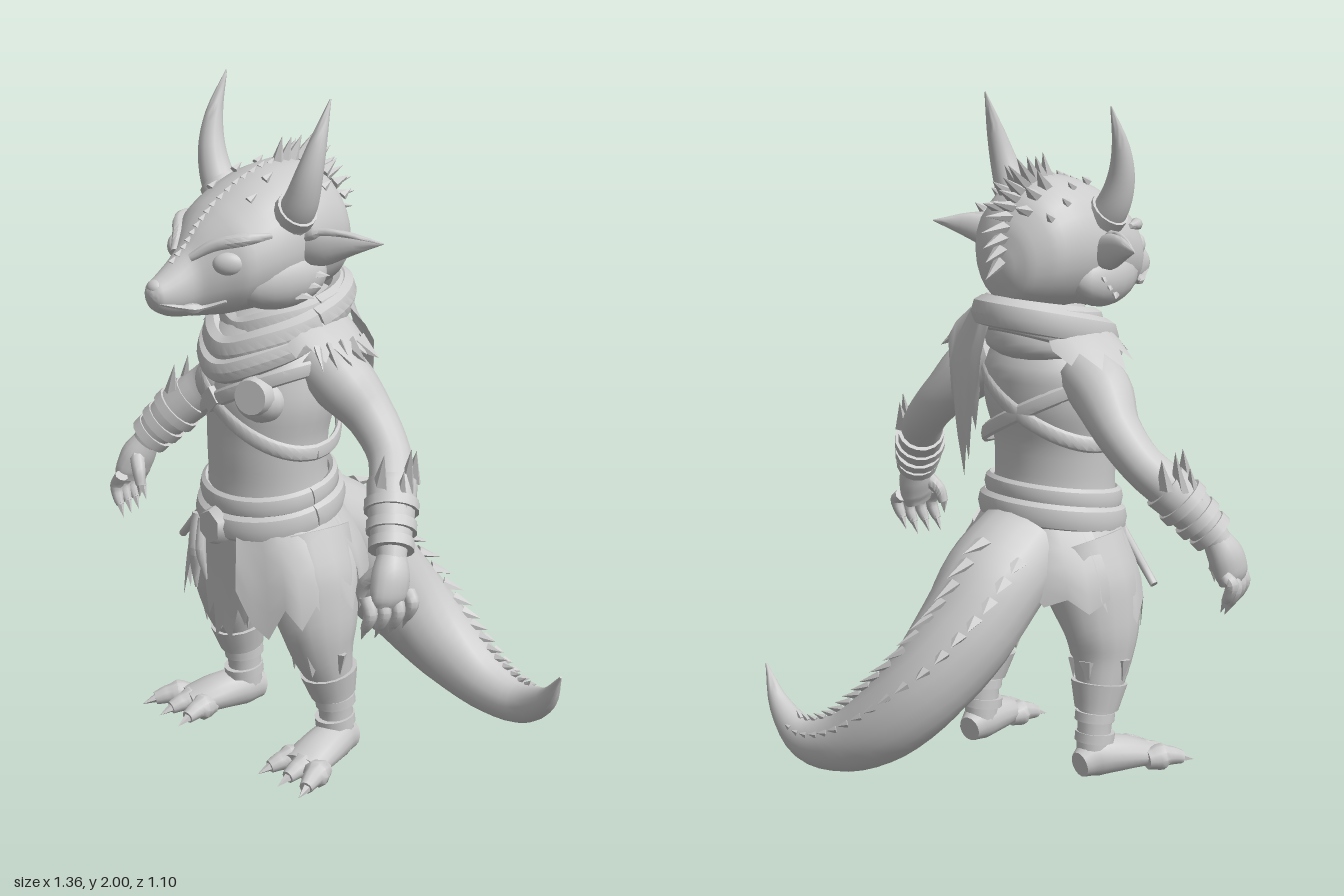
import * as THREE from 'three';
import { toCreasedNormals } from 'three/addons/utils/BufferGeometryUtils.js';

const V = (x, y, z) => new THREE.Vector3(x, y, z);
const { sin, cos, PI } = Math;

export function createModel() {
  const model = new THREE.Group();
  const clay = new THREE.MeshStandardMaterial({ color: 0xcccccc, side: THREE.DoubleSide });
  clay.name = 'clay grey';

  const add = (name, geo) => {
    const mesh = new THREE.Mesh(geo, clay);
    mesh.name = name;
    model.add(mesh);
    return mesh;
  };

  // Smooth closed skin over elliptical sections [x, y, z, rx, ry]
  function loft(name, secs, { ref = V(0, 0, 1), axis = null, sides = 16, per = 4, crease = 0.8 } = {}) {
    const path = new THREE.CatmullRomCurve3(secs.map(p => V(p[0], p[1], p[2])));
    const size = new THREE.CatmullRomCurve3(secs.map(p => V(p[3], p[4] ?? p[3], 0)));
    const n = (secs.length - 1) * per, pos = [], idx = [];
    for (let i = -1; i <= n + 1; i++) {
      const t = Math.min(Math.max(i / n, 0), 1);
      const c = path.getPoint(t), r = size.getPoint(t), k = i < 0 || i > n ? 0 : 1;
      const tan = axis || path.getTangent(t);
      const side = tan.clone().cross(ref).normalize(), up = side.clone().cross(tan).normalize();
      for (let j = 0; j < sides; j++) {
        const a = j / sides * 2 * PI;
        const p = c.clone().addScaledVector(side, k * r.x * cos(a)).addScaledVector(up, k * r.y * sin(a));
        pos.push(p.x, p.y, p.z);
        if (i <= n) {
          const A = (i + 1) * sides + j, B = (i + 1) * sides + (j + 1) % sides;
          idx.push(A, A + sides, B, B, A + sides, B + sides);
        }
      }
    }
    const g = new THREE.BufferGeometry();
    g.setAttribute('position', new THREE.Float32BufferAttribute(pos, 3));
    g.setIndex(idx);
    return add(name, toCreasedNormals(g, crease));
  }

  // Band around the body; y is a function of the angle (front is PI / 2)
  function ring(name, rx, rz, zc, y, thick, high) {
    const secs = [];
    for (let i = 0; i <= 24; i++) {
      const a = i / 24 * 2 * PI;
      secs.push([rx * cos(a), y(a), zc + rz * sin(a), thick, high]);
    }
    loft(name, secs, { ref: V(0, 1, 0), sides: 8, per: 2, crease: 0.6 });
  }

  function spike(name, p, dir, len, r, flat = 1) {
    const g = new THREE.ConeGeometry(r, len, 5).translate(0, len / 2, 0).scale(1, 1, flat);
    const m = add(name, g.toNonIndexed());
    m.geometry.computeVertexNormals();
    m.position.copy(p);
    m.quaternion.setFromUnitVectors(V(0, 1, 0), dir.clone().normalize());
  }

  // Ragged cloth: one length per column, placed by f(u, v, length)
  function cloth(name, lengths, f) {
    const n = lengths.length - 1, g = new THREE.PlaneGeometry(1, 1, n, 4), p = g.attributes.position;
    for (let i = 0; i < p.count; i++) {
      const q = f((i % (n + 1)) / n, Math.floor(i / (n + 1)) / 4, lengths[i % (n + 1)]);
      p.setXYZ(i, q.x, q.y, q.z);
    }
    g.computeVertexNormals();
    add(name, g);
  }

  function ball(name, x, y, z, rx, ry, rz, turn = 0) {
    const m = add(name, new THREE.SphereGeometry(1, 18, 14).scale(rx, ry, rz));
    m.position.set(x, y, z);
    m.rotation.y = turn;
  }

  // Head: [z, top, bottom, half width]
  const headRows = [[-0.105, 1.58, 1.5, 0.04], [-0.085, 1.66, 1.44, 0.1], [-0.03, 1.74, 1.41, 0.16], [0.06, 1.785, 1.39, 0.19],
    [0.16, 1.775, 1.38, 0.2], [0.25, 1.74, 1.38, 0.2], [0.33, 1.69, 1.38, 0.178], [0.385, 1.64, 1.385, 0.12],
    [0.43, 1.585, 1.39, 0.074], [0.49, 1.535, 1.4, 0.056], [0.535, 1.505, 1.425, 0.038], [0.55, 1.485, 1.455, 0.016]];
  loft('head', headRows.map(([z, t, b, w]) => [0, (t + b) / 2, z, w, (t - b) / 2]),
    { ref: V(0, 1, 0), axis: V(0, 0, 1), sides: 24 });
  ball('nose', 0, 1.487, 0.523, 0.03, 0.024, 0.026);

  // Crest of spikes over the skull, and small scales down the brow
  for (let i = 0; i < 13; i++) {
    const a = 1.25 + i * 0.17;
    for (const x of i > 1 && i < 9 && i % 2 ? [-0.055, 0, 0.055] : [0]) {
      const r = x ? 0.93 : 0.98;
      spike('crestSpike', V(x, 1.585 + 0.195 * r * sin(a), 0.055 + 0.155 * r * cos(a)),
        V(x * 2, sin(a + 0.6) + 0.2, cos(a + 0.6)), (x ? 0.06 : 0.085) + 0.012 * sin(i * 5), 0.028, 0.6);
    }
  }
  for (let i = 3; i < 9; i++) for (const t of [0, 0.33, 0.67]) {
    const [A, B] = [headRows[i], headRows[i + 1]];
    spike('browScale', V(0, A[1] + (B[1] - A[1]) * t - 0.004, A[0] + (B[0] - A[0]) * t), V(0, 1, -0.8), 0.024, 0.013);
  }

  // Torso and neck
  loft('torso', [[0, 0.66, 0.12, 0.17, 0.16], [0, 0.75, 0.125, 0.2, 0.185], [0, 0.88, 0.14, 0.19, 0.165], [0, 1, 0.14, 0.195, 0.165],
    [0, 1.12, 0.125, 0.215, 0.18], [0, 1.22, 0.11, 0.205, 0.17], [0, 1.3, 0.1, 0.15, 0.13], [0, 1.42, 0.11, 0.1, 0.1]],
  { axis: V(0, 1, 0), sides: 24 });

  // Scarf: draped folds, high at the nape and low at the front
  loft('scarfDrape', [[0, 1.24, 0.15, 0.13, 0.15], [0, 1.29, 0.11, 0.18, 0.19], [0, 1.35, 0.08, 0.16, 0.165], [0, 1.395, 0.07, 0.12, 0.13]],
    { axis: V(0, 1, 0), sides: 20 });
  [[0.18, 0.205, 0.115, 1.31, 0.075, 0.026], [0.172, 0.197, 0.095, 1.345, 0.06, 0.034], [0.15, 0.165, 0.075, 1.375, 0.035, 0.03]].forEach(
    ([rx, rz, zc, y, drop, th]) => ring('scarfFold', rx, rz, zc,
      a => y - drop * sin(a) - 0.03 * Math.max(0, sin(a)) ** 6, th, th * 1.4));
  // Ragged cape end over the left shoulder blade
  cloth('cape', [0.2, 0.32, 0.28, 0.42, 0.38, 0.48, 0.4, 0.3, 0.34, 0.18], (u, v, d) =>
    V(0.04 + 0.22 * u * (0.75 + 0.25 * sin(v * PI)), 1.38 - d * v, -0.1 - 0.05 * sin(v * 2) + 0.1 * u * u));

  // Crossed straps with a round plate and a clasp
  ring('strap', 0.212, 0.187, 0.128, a => 1.09 - 0.115 * cos(a), 0.01, 0.024);
  ring('strap', 0.212, 0.187, 0.128, a => 1.12 + 0.11 * cos(a), 0.01, 0.024);
  const plate = add('chestPlate', new THREE.CylinderGeometry(0.05, 0.06, 0.035, 20).rotateX(PI / 2));
  plate.position.set(0.13, 1.155, 0.29);
  plate.rotation.set(-0.1, 0.4, 0);
  const clasp = add('strapClasp', new THREE.BoxGeometry(0.055, 0.055, 0.02));
  clasp.position.set(-0.03, 1.11, 0.318);
  clasp.rotation.z = PI / 4;

  // Belts, buckle, pouch and dagger
  ring('upperBelt', 0.198, 0.18, 0.135, a => 0.835 - 0.03 * sin(a), 0.016, 0.032);
  ring('lowerBelt', 0.208, 0.195, 0.13, a => 0.775 - 0.035 * sin(a), 0.02, 0.04);
  const buckle = add('buckle', new THREE.CylinderGeometry(0.05, 0.062, 0.03, 6).rotateX(PI / 2));
  buckle.position.set(0, 0.735, 0.34);
  loft('hangingCord', [[-0.1, 0.74, 0.32, 0.018], [-0.095, 0.64, 0.335, 0.022], [-0.11, 0.56, 0.325, 0.014], [-0.115, 0.5, 0.32, 0.004]], { sides: 8 });
  loft('hangingCord', [[-0.08, 0.73, 0.32, 0.014], [-0.07, 0.64, 0.335, 0.016], [-0.065, 0.54, 0.32, 0.004]], { sides: 8 });
  loft('dagger', [[-0.17, 0.72, 0.25, 0.014], [-0.32, 0.58, 0.22, 0.012]], { sides: 8 });

  // Ragged skirt panels: [start angle, end angle, flare, depth flare, lengths]
  [[1.05, 2.12, 0.03, -0.02, [0.2, 0.33, 0.29, 0.4, 0.36, 0.41, 0.31, 0.36, 0.22]],
    [-0.45, 1.2, 0.095, 0.03, [0.2, 0.27, 0.22, 0.29, 0.23, 0.3, 0.24, 0.34, 0.3, 0.2]],
    [2.0, 3.6, 0.095, 0.03, [0.2, 0.32, 0.27, 0.34, 0.23, 0.3, 0.22, 0.28, 0.2]],
    [3.45, 4.4, 0.1, 0.06, [0.2, 0.24, 0.19, 0.22, 0.13]],
    [5.02, 5.95, 0.1, 0.06, [0.13, 0.22, 0.19, 0.24, 0.2]]].forEach(([a0, a1, fx, fz, len]) =>
    cloth('skirtPanel', len, (u, v, d) => {
      const a = a0 + (a1 - a0) * u, w = sin(v * 1.6), wave = 1 + 0.03 * v * sin(u * 14);
      return V((0.21 + fx * w) * wave * cos(a), 0.77 - d * v, 0.125 + (0.2 + fz * w) * wave * sin(a));
    }));

  // Tail with a dorsal row of spikes and a flatter outer row
  const tail = [[0, 0.7, 0, 0.15, 0.14], [0, 0.61, -0.13, 0.16, 0.15], [0.02, 0.47, -0.24, 0.15, 0.145], [0.08, 0.32, -0.35, 0.125, 0.13],
    [0.18, 0.2, -0.42, 0.105, 0.115], [0.31, 0.12, -0.46, 0.085, 0.09], [0.45, 0.1, -0.475, 0.06, 0.065], [0.58, 0.165, -0.455, 0.034, 0.036], [0.665, 0.275, -0.43, 0.003, 0.003]];
  loft('tail', tail, { ref: V(0, 1, 0), sides: 18 });
  const tailPath = new THREE.CatmullRomCurve3(tail.map(p => V(p[0], p[1], p[2])));
  const tailSize = new THREE.CatmullRomCurve3(tail.map(p => V(p[3], p[4], 0)));
  for (let i = 0; i < 18; i++) for (const a of [-0.95, -0.1]) {
    const t = 0.1 + i * 0.04, c = tailPath.getPoint(t), tan = tailPath.getTangent(t), r = tailSize.getPoint(t);
    const side = tan.clone().cross(V(0, 1, 0)).normalize(), up = side.clone().cross(tan);
    const out = side.multiplyScalar(sin(a)).addScaledVector(up, cos(a));
    const base = c.addScaledVector(out, r.y * 0.95);
    spike('tailSpike', base, out.addScaledVector(tan, 1.8), (a < -0.5 ? 0.06 : 0.095) * (1.1 - t), 0.028 * (1.2 - t), 0.6);
  }

  // Ragged feathers on the left shoulder
  for (let i = 0; i < 5; i++)
    spike('mantleFeather', V(0.25, 1.295, 0.01 + i * 0.035), V(1, -0.7, (i - 2) * 0.25), 0.08, 0.03, 0.4);

  // Mirrored parts
  for (const s of [1, -1]) {
    const L = (name, pts, o) => loft(name, pts.map(([x, ...r]) => [x * s, ...r]), o);
    const S = (name, x, y, z, dx, dy, dz, len, r, flat) => spike(name, V(x * s, y, z), V(dx * s, dy, dz), len, r, flat);
    const Y = { ref: V(0, 1, 0) };

    // Face
    ball('eye', s * 0.125, 1.555, 0.365, 0.046, 0.033, 0.024, s * 0.85);
    L('brow', [[0.038, 1.565, 0.432, 0.012], [0.08, 1.6, 0.388, 0.018], [0.145, 1.622, 0.335, 0.019], [0.182, 1.63, 0.26, 0.008]], { ...Y, sides: 8 });
    L('mouth', [[0.03, 1.45, 0.533, 0.006], [0.06, 1.435, 0.475, 0.007], [0.08, 1.43, 0.425, 0.007], [0.125, 1.45, 0.375, 0.005]], { ...Y, sides: 6 });
    ball('cheek', s * 0.135, 1.49, 0.2, 0.075, 0.09, 0.15, s * -0.15);
    for (let i = 0; i < 3; i++) S('cheekSpike', 0.19, 1.45 + i * 0.025, 0.18 - i * 0.025, 1, -0.3 + i * 0.1, -1, 0.055, 0.02, 0.6);
    for (const [x, y, z] of [[0.07, 1.755, 0.2], [0.1, 1.755, 0.1], [0.09, 1.71, 0.27], [0.13, 1.72, 0.04], [0.13, 1.685, -0.03]])
      S('headScale', x, y, z, x * 2, 1, -1.4, 0.035, 0.014);

    // Horn and collar
    L('horn', [[0.15, 1.65, 0.17, 0.055], [0.194, 1.71, 0.17, 0.05], [0.224, 1.79, 0.165, 0.04], [0.238, 1.88, 0.145, 0.026], [0.238, 2, 0.1, 0.002]]);
    L('hornCollar', [[0.16, 1.668, 0.17, 0.062], [0.182, 1.692, 0.17, 0.06]]);

    // Ear: flattened shell with a rim
    L('ear', [[0.16, 1.565, 0.14, 0.03, 0.04], [0.22, 1.58, 0.12, 0.03, 0.052], [0.29, 1.6, 0.085, 0.022, 0.038], [0.385, 1.612, 0.03, 0.002, 0.002]], Y);
    L('earRim', [[0.18, 1.6, 0.15, 0.012], [0.23, 1.628, 0.13, 0.012], [0.3, 1.628, 0.09, 0.009], [0.38, 1.612, 0.035, 0.002]], { ...Y, sides: 8 });

    // Ragged shoulder mantle
    cloth('shoulderMantle', [0.8, 1, 0.82, 1.06, 0.85, 1.1, 0.85, 1.04, 0.8, 1, 0.75], (u, v, d) => {
      const a = (u - 0.5) * 2.3, w = v * d;
      return V(s * (0.1 + 0.2 * w) * cos(a * 0.8), 1.385 - 0.03 * w - 0.08 * w * w, 0.08 + (0.1 + 0.06 * w) * sin(a));
    });

    // Chest and arm
    ball('pectoral', s * 0.09, 1.13, 0.235, 0.095, 0.075, 0.07);
    L('arm', [[0.16, 1.23, 0.08, 0.085], [0.24, 1.185, 0.06, 0.092], [0.33, 1.095, 0.025, 0.071], [0.42, 1.005, 0.03, 0.063],
      [0.49, 0.93, 0.08, 0.064], [0.56, 0.84, 0.135, 0.05], [0.6, 0.77, 0.17, 0.04]]);
    L('bracer', [[0.475, 0.945, 0.065, 0.072], [0.52, 0.89, 0.105, 0.068], [0.575, 0.815, 0.15, 0.056]]);
    for (const [x, y, z, r] of [[0.515, 0.895, 0.1, 0.078], [0.548, 0.85, 0.127, 0.072], [0.575, 0.812, 0.15, 0.065]])
      L('bracerBand', [[x - 0.008, y + 0.011, z - 0.007, r], [x + 0.008, y - 0.011, z + 0.007, r]]);
    for (const [x, y, z, len] of [[0.53, 0.94, 0.06, 0.12], [0.55, 0.91, 0.1, 0.1], [0.5, 0.95, 0.13, 0.1], [0.51, 0.95, 0.02, 0.09]])
      S('bracerBlade', x, y, z, 0, 1, -0.15, len, 0.036, 0.4);

    // Hand with clawed fingers
    L('palm', [[0.585, 0.8, 0.155, 0.038], [0.61, 0.74, 0.18, 0.048, 0.058], [0.62, 0.69, 0.195, 0.04, 0.06], [0.62, 0.66, 0.2, 0.026, 0.05]]);
    for (let k = 0; k < 4; k++) {
      const z = 0.14 + k * 0.038, x = 0.647 - k * 0.014, y = k === 0 ? 0.02 : 0;
      L('finger', [[x - 0.01, 0.69, z, 0.021], [x + 0.014, 0.65 + y, z + 0.004, 0.02], [x, 0.61 + y, z + 0.006, 0.016], [x - 0.01, 0.595 + y, z + 0.006, 0.012]], { sides: 8 });
      S('fingerClaw', x - 0.005, 0.603 + y, z + 0.006, -0.45, -1, 0, 0.05, 0.014);
    }
    L('thumb', [[0.59, 0.75, 0.2, 0.025], [0.55, 0.71, 0.22, 0.021], [0.535, 0.67, 0.225, 0.015]], { sides: 8 });
    S('thumbClaw', 0.535, 0.675, 0.225, 0, -1, 0.1, 0.045, 0.014);

    // Leg with baggy trouser end, shin cuff and wraps
    L('leg', [[0.12, 0.7, 0.11, 0.13, 0.15], [0.165, 0.58, 0.115, 0.135, 0.145], [0.205, 0.46, 0.115, 0.107, 0.128], [0.215, 0.37, 0.108, 0.09, 0.1],
      [0.225, 0.27, 0.085, 0.066, 0.07], [0.225, 0.17, 0.065, 0.05, 0.053], [0.225, 0.05, 0.055, 0.048, 0.052]]);
    L('shinCuff', [[0.222, 0.29, 0.088, 0.083, 0.088], [0.225, 0.21, 0.072, 0.064, 0.068]]);
    for (const y of [0.19, 0.125])
      L('ankleWrap', [[0.225, y + 0.014, 0.067, 0.058, 0.062], [0.225, y - 0.014, 0.063, 0.058, 0.062]]);
    for (let i = 0; i < 6; i++) S('trouserTatter', 0.215 + 0.075 * cos(i), 0.37, 0.105 + 0.08 * sin(i), 0.1 * cos(i), -1, 0.1 * sin(i), 0.07, 0.035, 0.5);

    // Foot with three clawed toes
    L('foot', [[0.222, 0.05, 0, 0.035, 0.04], [0.23, 0.062, 0.06, 0.058, 0.06], [0.255, 0.055, 0.15, 0.07, 0.053], [0.28, 0.038, 0.235, 0.07, 0.036]], Y);
    for (const k of [-1, 0, 1]) {
      L('toe', [[0.275 + 0.05 * k, 0.036, 0.19, 0.03], [0.285 + 0.07 * k, 0.04, 0.25, 0.03], [0.292 + 0.085 * k, 0.028, 0.295, 0.02]], { ...Y, sides: 10 });
      S('toeClaw', 0.291 + 0.083 * k, 0.032, 0.28, 0.1 + 0.25 * k, -0.35, 1, 0.06, 0.018);
    }
  }
  return model;
}
